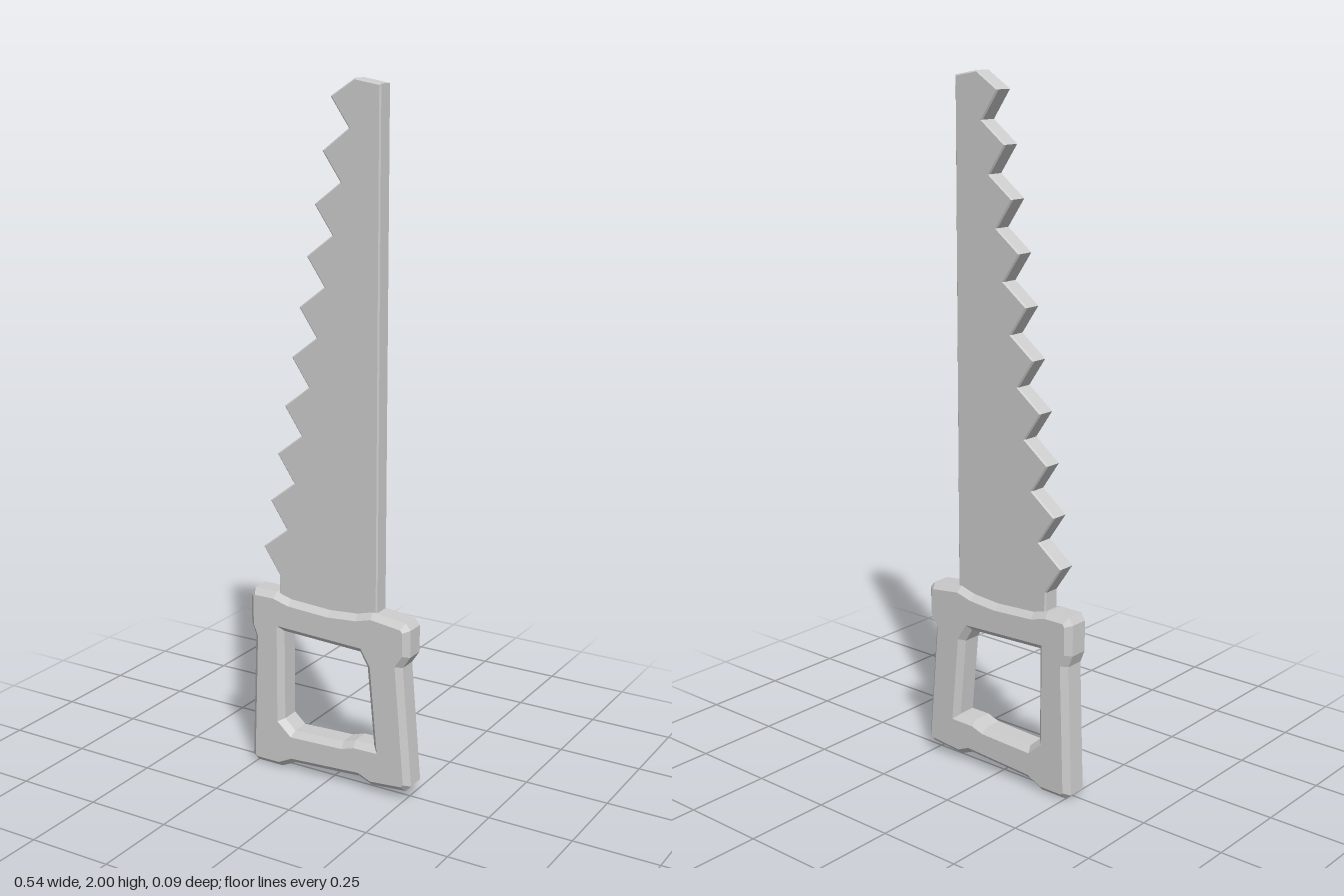
import * as THREE from 'three';

const material = new THREE.MeshStandardMaterial({ color: 0xcccccc, flatShading: true });
const toPoints = (list) => list.map(([x, y]) => new THREE.Vector2(x, y));

// Extrudes an outline to a full thickness centred on z = 0, with chamfered edges inside the outline
function plate(name, outline, hole, thickness, bevel) {
  const shape = new THREE.Shape(toPoints(outline));
  if (hole) shape.holes.push(new THREE.Path(toPoints(hole)));
  const depth = thickness - 2 * bevel;
  const geometry = new THREE.ExtrudeGeometry(shape, {
    depth, bevelEnabled: true, bevelThickness: bevel, bevelSize: bevel, bevelOffset: -bevel, bevelSegments: 1,
  });
  geometry.translate(0, 0, -depth / 2);
  const mesh = new THREE.Mesh(geometry, material);
  mesh.name = name;
  return mesh;
}

export function createModel() {
  const saw = new THREE.Group();
  saw.name = 'handSaw';

  // Blade: straight back, clipped tip and ten slanting teeth
  const blade = [[-0.17, 0.49], [0.152, 0.49], [0.152, 1.987], [0.075, 2.0]];
  for (let i = 0; i < 10; i++) {
    blade.push([-0.025 * i, 1.952 - 0.1417 * i]);
    blade.push([0.056 - 0.0252 * i, 1.872 - 0.1417 * i]);
  }
  saw.add(plate('blade', blade, null, 0.053, 0.004));

  // Handle: chunky chamfered frame with flared corners and a grip opening
  const frame = [
    [-0.268, 0.015], [-0.25, 0], [-0.165, 0], [-0.12, 0.022], [0.1, 0.035], [0.14, 0.018],
    [0.25, 0.027], [0.268, 0.045], [0.237, 0.4], [0.26, 0.435], [0.26, 0.515], [0.245, 0.533],
    [0.14, 0.546], [0.09, 0.532], [0, 0.525], [-0.13, 0.532], [-0.18, 0.546], [-0.255, 0.546],
    [-0.268, 0.525], [-0.268, 0.435], [-0.254, 0.4],
  ];
  const opening = [
    [-0.155, 0.155], [-0.12, 0.124], [0.045, 0.13], [0.085, 0.143], [0.147, 0.143],
    [0.124, 0.38], [0.1, 0.42], [-0.155, 0.43],
  ];
  saw.add(plate('handle', frame, opening, 0.088, 0.017));

  return saw;
}
